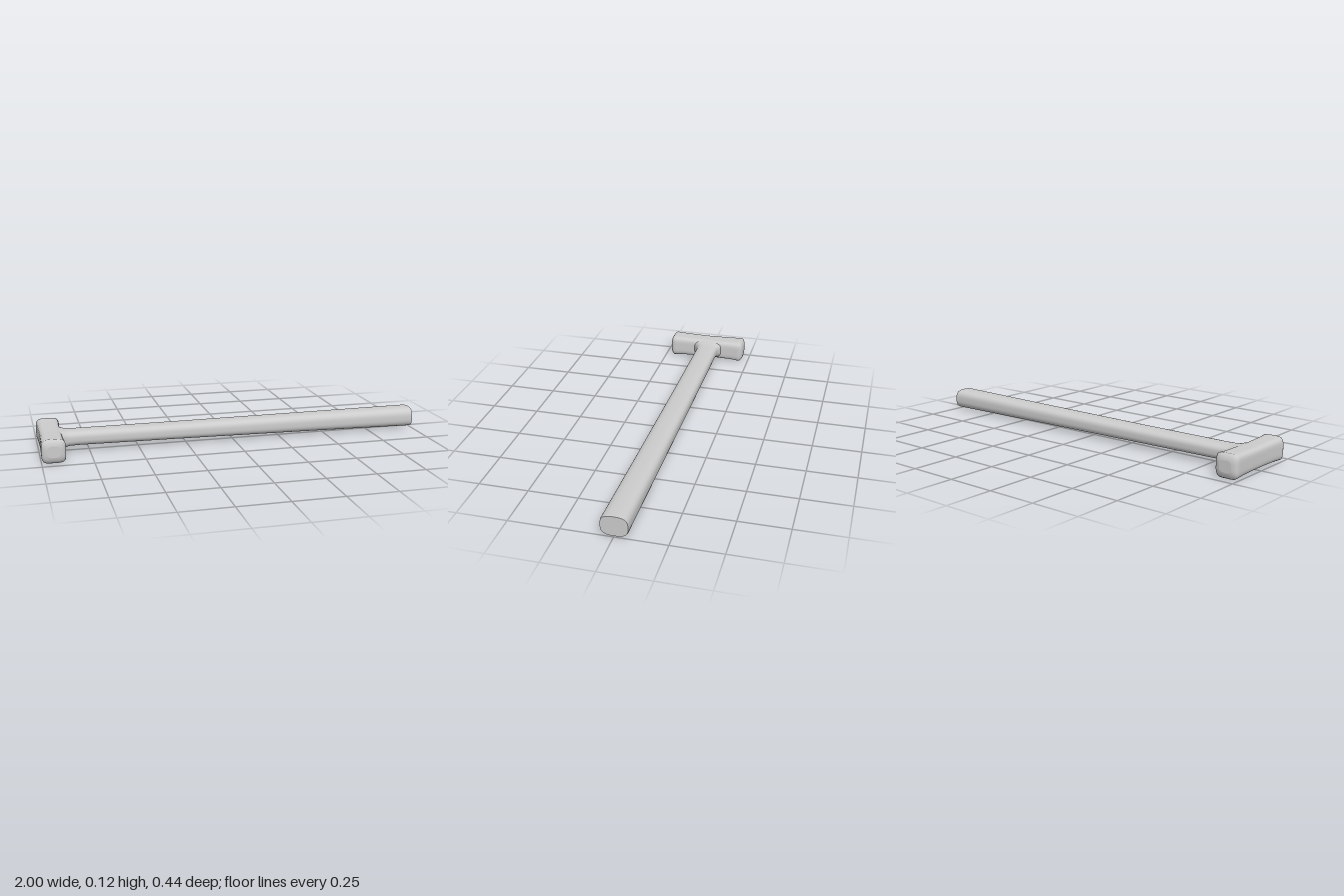
import * as THREE from 'three';

const SIDES = 48;

// Lofts rounded-rectangle sections [t, uMin, uMax, vMin, vMax, power] along an axis.
// place(t, u, v) gives the point; u x v must point along t.
function loft(sections, place) {
  const pos = [], index = [];
  const ring = ([t, u0, u1, v0, v1, n]) => {
    const start = pos.length / 3;
    for (let j = 0; j < SIDES; j++) {
      const a = (j / SIDES) * Math.PI * 2, c = Math.cos(a), s = Math.sin(a);
      const r = Math.pow(Math.abs(c) ** n + Math.abs(s) ** n, -1 / n);
      pos.push(...place(t, (u0 + u1) / 2 + (r * c * (u1 - u0)) / 2, (v0 + v1) / 2 + (r * s * (v1 - v0)) / 2));
    }
    return start;
  };
  const starts = sections.map(ring);
  for (let i = 0; i < starts.length - 1; i++) {
    for (let j = 0; j < SIDES; j++) {
      const k = (j + 1) % SIDES, a = starts[i], b = starts[i + 1];
      index.push(a + j, a + k, b + k, a + j, b + k, b + j);
    }
  }
  // flat end caps with their own vertices, so the rim stays crisp
  for (const [sec, last] of [[sections[0], false], [sections[sections.length - 1], true]]) {
    const s = ring(sec), mid = pos.length / 3;
    pos.push(...place(sec[0], (sec[1] + sec[2]) / 2, (sec[3] + sec[4]) / 2));
    for (let j = 0; j < SIDES; j++) {
      const k = (j + 1) % SIDES;
      index.push(mid, s + (last ? j : k), s + (last ? k : j));
    }
  }
  const g = new THREE.BufferGeometry();
  g.setAttribute('position', new THREE.Float32BufferAttribute(pos, 3));
  g.setIndex(index);
  g.computeVertexNormals();
  return g;
}

export function createModel() {
  const group = new THREE.Group();
  const material = new THREE.MeshStandardMaterial({ color: 0xcccccc });
  const add = (name, geometry) => {
    const mesh = new THREE.Mesh(geometry, material);
    mesh.name = name;
    group.add(mesh);
  };

  // Head: a bar along z, slightly waisted, swelling before its rounded faces
  const half = [
    [0, -0.995, -0.885, 0.008, 0.114, 5],
    [0.06, -0.995, -0.885, 0.008, 0.115, 5],
    [0.15, -0.997, -0.884, 0.006, 0.117, 5],
    [0.185, -0.999, -0.881, 0.002, 0.119, 4.5],
    [0.2, -0.999, -0.881, 0.001, 0.121, 4.5],
    [0.209, -0.995, -0.885, 0.007, 0.115, 4],
    [0.216, -0.986, -0.894, 0.018, 0.104, 3.5],
    [0.219, -0.972, -0.908, 0.032, 0.09, 3],
  ];
  const mirrored = half.slice(1).reverse().map(([t, ...rest]) => [-t, ...rest]);
  add('head', loft([...mirrored, ...half], (z, x, y) => [x, y, z]));

  // Handle: flares into the head and widens gently towards the flat butt
  add('handle', loft([
    [-0.91, 0.012, 0.112, -0.095, 0.08, 3.5],
    [-0.885, 0.016, 0.11, -0.09, 0.072, 3.4],
    [-0.872, 0.022, 0.107, -0.079, 0.057, 3.2],
    [-0.85, 0.027, 0.105, -0.073, 0.05, 3],
    [-0.8, 0.028, 0.104, -0.071, 0.048, 3],
    [-0.3, 0.023, 0.104, -0.071, 0.051, 3],
    [0.4, 0.014, 0.107, -0.07, 0.057, 3],
    [0.99, 0.005, 0.11, -0.069, 0.064, 3],
    [1, 0.007, 0.108, -0.067, 0.062, 3],
  ], (x, y, z) => [x, y, z]));

  return group;
}
